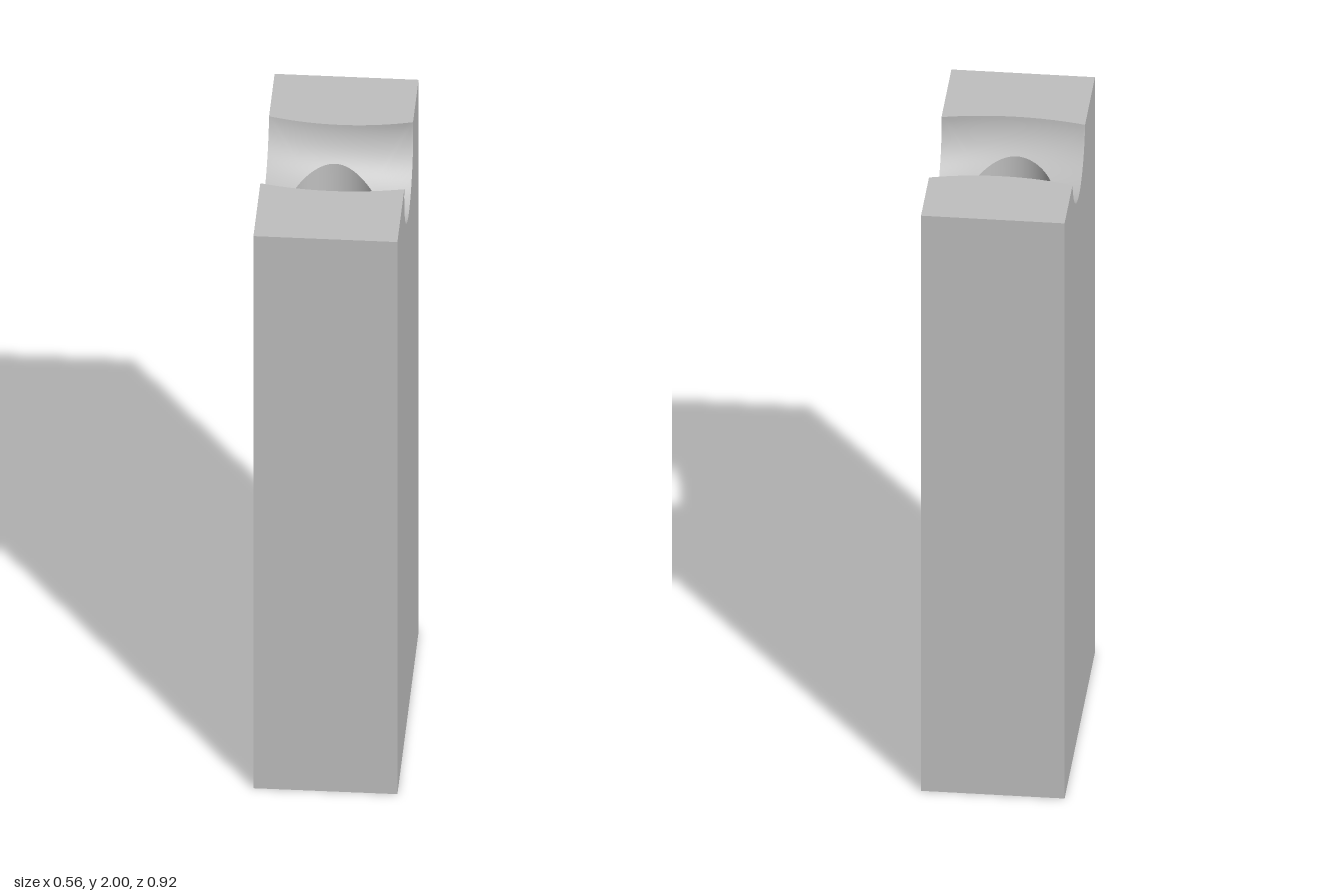
import * as THREE from 'three';

const H = 2, HU = 0.216, HV = 0.432;      // block height, half width, half length
const R = 0.864, r = 0.176, TILT = 0.16;  // ring-shaped groove: bend radius, tube radius, slope
const HOLE = 0.135, K = 24;               // bore radius, segments per groove side

// Point of the tilted ring surface at width position u; w runs -1..1 across the groove
function groovePoint(u, w) {
  const t0 = Math.asin(u * Math.sin(TILT) / r);
  const t = -Math.PI / 2 + w * (Math.PI / 2 + t0);
  const a = (u - r * Math.sin(t) * Math.sin(TILT)) / Math.cos(TILT);
  const ring = R + r * Math.cos(t);
  return new THREE.Vector3(
    u,
    H - u * Math.tan(TILT) + r * Math.sin(t) / Math.cos(TILT),
    Math.sqrt(ring * ring - a * a) - R
  );
}

// Groove position w whose point lies at length position v
function findW(u, v) {
  let lo = -0.98, hi = 0.98;
  for (let i = 0; i < 40; i++) {
    const mid = (lo + hi) / 2;
    if (groovePoint(u, mid).z < v) lo = mid; else hi = mid;
  }
  return (lo + hi) / 2;
}

// Smooth surface from closed loops: point(i, j), i around, j across
function loopSurface(n, m, point) {
  const pos = [], index = [];
  for (let j = 0; j <= m; j++) {
    for (let i = 0; i < n; i++) pos.push(...point(i, j / m).toArray());
  }
  for (let j = 0; j < m; j++) {
    for (let i = 0; i < n; i++) {
      const a = j * n + i, b = j * n + (i + 1) % n;
      index.push(a, b, a + n, b, b + n, a + n);
    }
  }
  const g = new THREE.BufferGeometry();
  g.setAttribute('position', new THREE.Float32BufferAttribute(pos, 3));
  g.setIndex(index);
  g.computeVertexNormals();
  return g;
}

export function createModel() {
  const grey = new THREE.MeshStandardMaterial({ color: 0xc0c0c0 });
  grey.name = 'light grey';
  const model = new THREE.Group();
  model.name = 'groovedBlock';
  const add = (name, geometry) => {
    const mesh = new THREE.Mesh(geometry, grey);
    mesh.name = name;
    model.add(mesh);
    return mesh;
  };
  const flat = (pts) => new THREE.Shape(pts.map(([x, y]) => new THREE.Vector2(x, y)));

  // Walk round the square outline of the groove patch, matched to the bore rim
  const outline = [], rim = [];
  const sides = [[1, -1, 0, 1], [1, 1, -1, 0], [-1, 1, 0, -1], [-1, -1, 1, 0]];
  for (const [x, y, dx, dy] of sides) {
    for (let k = 0; k < K; k++) {
      const s = x + dx * 2 * k / K, w = y + dy * 2 * k / K;
      outline.push([s * HU, w]);
      const angle = Math.atan2(w, s);
      const u = HOLE * Math.cos(angle), v = HOLE * Math.sin(angle);
      rim.push({ u, v, w: findW(u, v) });
    }
  }
  const n = outline.length;

  // Curved groove floor around the bore
  add('groove', loopSurface(n, 14, (i, f) => groovePoint(
    THREE.MathUtils.lerp(rim[i].u, outline[i][0], f),
    THREE.MathUtils.lerp(rim[i].w, outline[i][1], f)
  )));

  // Vertical bore from the base up to the groove
  add('bore', loopSurface(n, 4, (i, f) => {
    const p = groovePoint(rim[i].u, rim[i].w);
    return new THREE.Vector3(rim[i].u, p.y * f, rim[i].v);
  }));

  for (const s of [-1, 1]) {
    const steps = Array.from({ length: K + 1 }, (_, k) => -1 + 2 * k / K);

    // Top faces on both sides of the groove
    const edge = steps.map((q) => [q * HU, -groovePoint(q * HU, s).z]);
    const top = new THREE.ShapeGeometry(flat([...edge, [HU, -s * HV], [-HU, -s * HV]]));
    add(s > 0 ? 'frontTop' : 'backTop', top.rotateX(-Math.PI / 2).translate(0, H, 0));

    // Broad faces, notched by the groove
    const notch = steps.map((w) => {
      const p = groovePoint(s * HU, w);
      return [-s * p.z, p.y];
    });
    if (s > 0) notch.reverse();
    const broad = new THREE.ShapeGeometry(flat([
      [-HV, 0], [-HV, H], ...notch, [HV, H], [HV, 0],
    ]));
    add(s > 0 ? 'leftSide' : 'rightSide', broad.rotateY(s * Math.PI / 2).translate(s * HU, 0, 0));

    // Narrow faces
    const narrow = add(s > 0 ? 'frontSide' : 'backSide', new THREE.PlaneGeometry(2 * HU, H));
    narrow.position.set(0, H / 2, s * HV);
    narrow.rotation.y = s > 0 ? 0 : Math.PI;
  }

  // Base with the bore opening
  const base = flat([[-HU, -HV], [HU, -HV], [HU, HV], [-HU, HV]]);
  base.holes.push(new THREE.Path(rim.map(({ u, v }) => new THREE.Vector2(u, v))));
  add('base', new THREE.ShapeGeometry(base).rotateX(Math.PI / 2));

  // The block stands turned slightly about its upright axis
  model.rotation.y = -0.149;
  return model;
}
